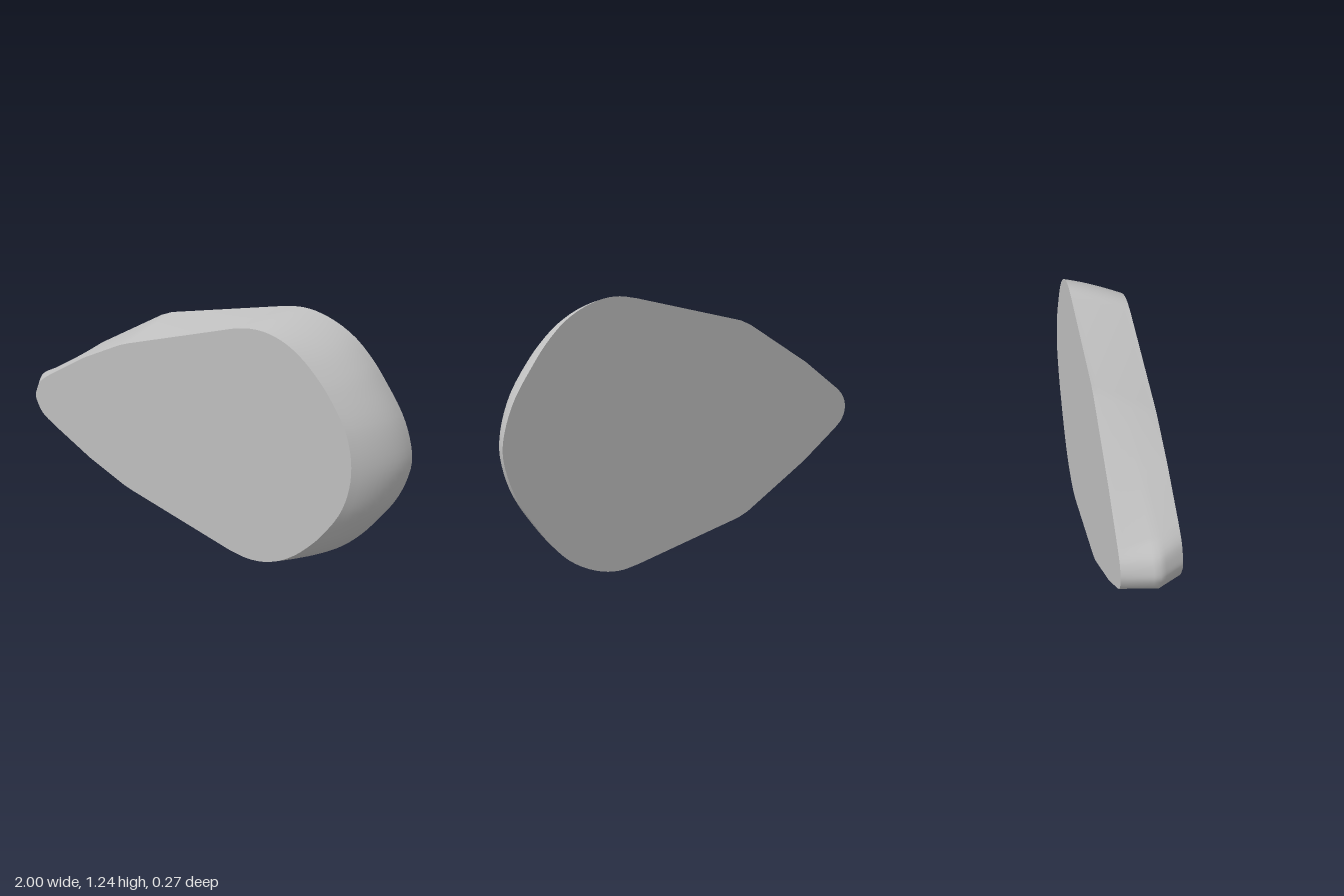
import * as THREE from 'three';

const MID = 0.62, HALF = 0.133;

// Half outlines as [x, height above the centre line]: blunt end, flank corners, narrow tip
const BACK = {
  nose: [[1, 0], [0.98, 0.11], [0.935, 0.22], [0.85, 0.35], [0.79, 0.43], [0.7, 0.52], [0.6, 0.58], [0.5, 0.613], [0.42, 0.62], [0.33, 0.608]],
  flank: [[-0.26, 0.485], [-0.32, 0.462], [-0.69, 0.255]],
  tip: [[-0.91, 0.105], [-0.95, 0.07], [-0.97, 0.035], [-0.977, 0]],
};
const FRONT = {
  nose: [[0.825, 0], [0.815, 0.1], [0.78, 0.21], [0.7, 0.34], [0.65, 0.402], [0.58, 0.473], [0.5, 0.53], [0.41, 0.565], [0.32, 0.573], [0.23, 0.558]],
  flank: [[-0.34, 0.388], [-0.39, 0.37], [-0.6, 0.27]],
  tip: [[-0.82, 0.14], [-0.89, 0.09], [-0.92, 0.04], [-0.932, 0]],
};

const mirror = (pts) => pts.map(([x, h]) => [x, -h]).reverse();

function smooth(pts, n) {
  const curve = new THREE.CatmullRomCurve3(pts.map(([x, h]) => new THREE.Vector3(x, h, 0)));
  return curve.getPoints(n).map((p) => [p.x, p.y]);
}

// Closed counter-clockwise outline, mirrored about the centre line
function outline({ nose, flank, tip }) {
  return [
    ...smooth([...mirror(nose.slice(1)), ...nose], 54),
    ...flank,
    ...smooth([...tip, ...mirror(tip.slice(0, -1))], 24),
    ...mirror(flank),
  ];
}

// Cross-section at t = 0 (back) to 1 (front), bulging at both ends
function section(back, front, t) {
  return back.map(([bx, bh], i) => {
    const [fx, fh] = front[i];
    const round = 4 * t * (1 - t);
    const tent = t < 0.6 ? t / 0.6 : (1 - t) / 0.4;
    const blunt = 0.035 * THREE.MathUtils.smoothstep(bx, 0.4, 0.95) * round;
    const sharp = 0.052 * THREE.MathUtils.smoothstep(-bx, 0.85, 0.97) * tent;
    return [bx + (fx - bx) * t + blunt - sharp, bh + (fh - bh) * t + Math.sign(bh) * 0.004 * round * Math.min(1, Math.abs(bh) * 3)];
  });
}

function loft(back, front, layers) {
  const n = back.length, pos = [], index = [];
  for (let k = 0; k <= layers; k++) {
    const t = k / layers;
    for (const [x, h] of section(back, front, t)) pos.push(x, MID + h, -HALF + 2 * HALF * t);
  }
  for (let k = 0; k < layers; k++) {
    for (let i = 0; i < n; i++) {
      const a = k * n + i, b = k * n + (i + 1) % n;
      index.push(a, b, b + n, a, b + n, a + n);
    }
  }
  const g = new THREE.BufferGeometry();
  g.setAttribute('position', new THREE.Float32BufferAttribute(pos, 3));
  g.setIndex(index);
  g.computeVertexNormals();
  return g;
}

export function createModel() {
  const group = new THREE.Group();
  const grey = new THREE.MeshStandardMaterial({ color: 0xc0c0c0 });
  grey.name = 'light grey';
  const back = outline(BACK), front = outline(FRONT);

  // Curved wall between the two flat faces
  const wall = new THREE.Mesh(loft(back, front, 10), grey);
  wall.name = 'sideWall';
  group.add(wall);

  // Flat faces
  const cap = (pts, name) => {
    const shape = new THREE.Shape(pts.map(([x, h]) => new THREE.Vector2(x, h)));
    const mesh = new THREE.Mesh(new THREE.ShapeGeometry(shape), grey);
    mesh.name = name;
    group.add(mesh);
    return mesh;
  };
  cap(front, 'frontFace').position.set(0, MID, HALF);
  const rear = cap(back.map(([x, h]) => [-x, h]), 'backFace');
  rear.position.set(0, MID, -HALF);
  rear.rotation.y = Math.PI;
  return group;
}
